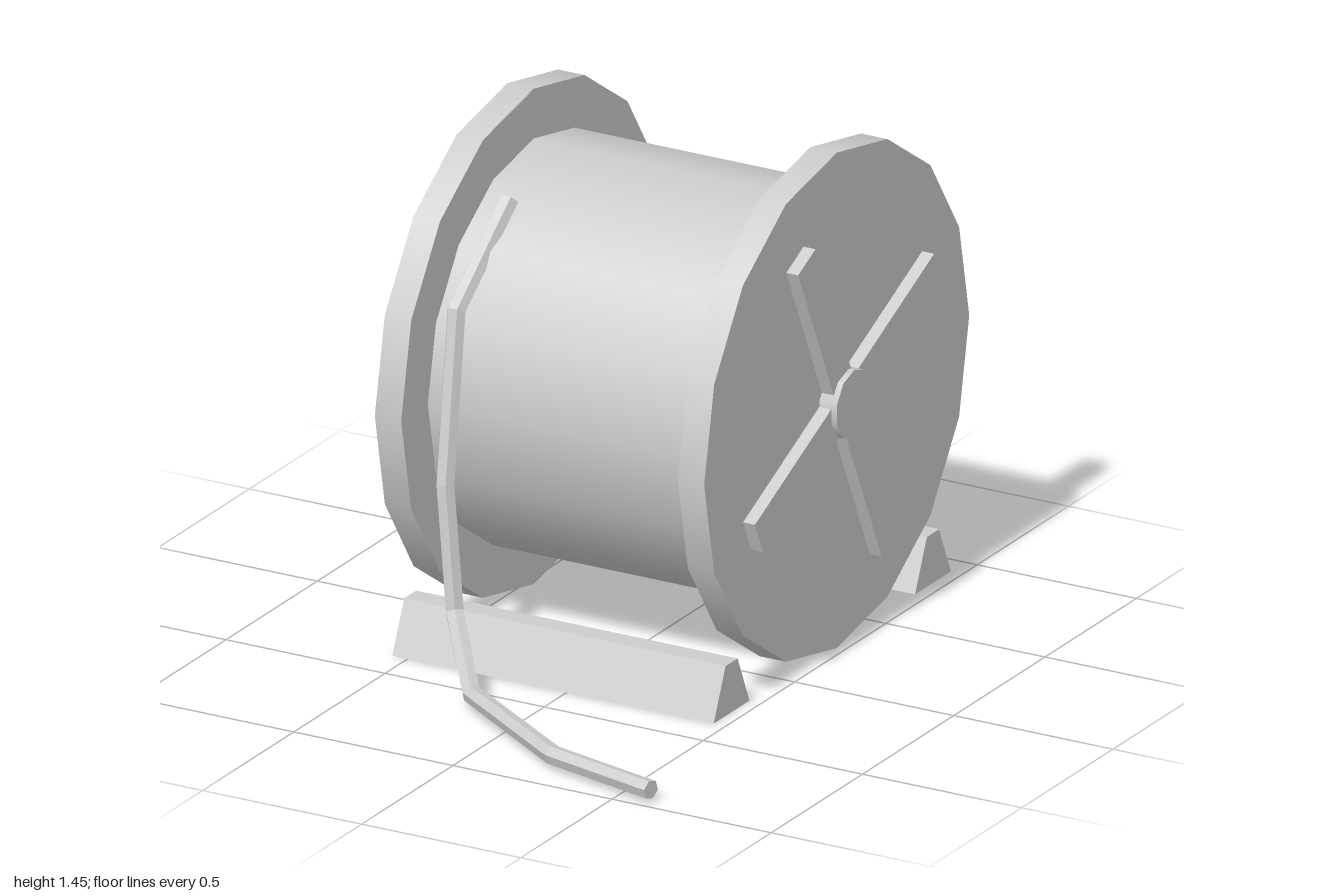
import * as THREE from 'three';

const grey = new THREE.MeshStandardMaterial({ color: 0xcccccc });
grey.name = 'light grey';

// Axis of the reel
const CX = -0.043, CY = 0.726, CZ = -0.275;

function addMesh(parent, name, geometry) {
  const mesh = new THREE.Mesh(geometry, grey);
  mesh.name = name;
  parent.add(mesh);
  return mesh;
}

// Cylinder lying along x, with a corner pointing straight up
function disc(radius, width, sides) {
  return new THREE.CylinderGeometry(radius, radius, width, sides).rotateZ(Math.PI / 2).rotateX(Math.PI / 2);
}

// Straight segments with mitred joints
class Polyline extends THREE.Curve {
  constructor(points) {
    super();
    this.points = points;
  }
  getPoint(t, target = new THREE.Vector3()) {
    const n = this.points.length - 1;
    const i = Math.min(Math.floor(t * n + 1e-6), n - 1);
    return target.lerpVectors(this.points[i], this.points[i + 1], t * n - i);
  }
  getTangent(t, target = new THREE.Vector3()) {
    const n = this.points.length - 1, i = Math.round(t * n);
    const p = this.points, d = new THREE.Vector3();
    target.set(0, 0, 0);
    if (i > 0) target.add(d.subVectors(p[i], p[i - 1]).normalize());
    if (i < n) target.add(d.subVectors(p[i + 1], p[i]).normalize());
    return target.normalize();
  }
  getPointAt(u, target) { return this.getPoint(u, target); }
  getTangentAt(u, target) { return this.getTangent(u, target); }
}

function cableGeometry(points, radius, sides) {
  const n = points.length - 1;
  const tube = new THREE.TubeGeometry(new Polyline(points), n, radius, sides, false);
  // Close both ends with fans over the end rings
  const index = Array.from(tube.index.array), last = n * (sides + 1);
  for (let j = 1; j < sides - 1; j++) {
    index.push(0, j, j + 1, last, last + j + 1, last + j);
  }
  // Check the winding of the caps against the end directions
  const pos = tube.attributes.position;
  const v = (k) => new THREE.Vector3().fromBufferAttribute(pos, k);
  const normal = v(1).sub(v(0)).cross(v(2).sub(v(0)));
  if (normal.dot(points[1].clone().sub(points[0])) > 0) {
    for (let k = tube.index.count; k < index.length; k += 3) {
      [index[k + 1], index[k + 2]] = [index[k + 2], index[k + 1]];
    }
  }
  tube.setIndex(index);
  const flat = tube.toNonIndexed();
  flat.computeVertexNormals();
  return flat;
}

export function createModel() {
  const model = new THREE.Group();
  model.name = 'cableReel';

  // Reel: drum, end flanges, cross braces and hubs
  const reel = new THREE.Group();
  reel.name = 'reel';
  reel.position.set(CX, CY, CZ);
  model.add(reel);
  addMesh(reel, 'drum', disc(0.58, 0.88, 16));
  for (const [side, s] of [['right', -1], ['left', 1]]) {
    addMesh(reel, side + 'Flange', disc(0.726, 0.083, 16)).position.x = s * 0.476;
    for (let k = 0; k < 2; k++) {
      const bar = addMesh(reel, side + 'CrossBar' + (k + 1), new THREE.BoxGeometry(0.06, 0.105, 1.083));
      bar.position.x = s * 0.525;
      bar.rotation.x = THREE.MathUtils.degToRad(25 + k * 90);
    }
    addMesh(reel, side + 'Hub', disc(0.1, 0.08, 10)).position.x = s * 0.533;
  }

  // Wedge blocks on the ground
  const section = new THREE.Shape([[-0.098, 0], [0.098, 0], [0.033, 0.146], [-0.033, 0.146]]
    .map(([a, b]) => new THREE.Vector2(a, b)));
  const block = new THREE.ExtrudeGeometry(section, { depth: 1.01, bevelEnabled: false })
    .translate(0, 0, -0.505).rotateY(Math.PI / 2);
  addMesh(model, 'frontChock', block).position.set(CX, 0, 0.279);
  addMesh(model, 'backChock', block).position.set(CX, 0, -0.824);

  // Loose end of the cable, down the drum and out along the ground
  const path = [
    [-0.39, 1.242, 0.01], [-0.412, 1.0, 0.262], [-0.385, 0.53, 0.37], [-0.335, 0.18, 0.405],
    [-0.162, 0.046, 0.615], [0.245, 0.038, 0.88], [0.605, 0.038, 0.97],
  ].map((p) => new THREE.Vector3(...p));
  addMesh(model, 'cable', cableGeometry(path, 0.028, 6));

  return model;
}
